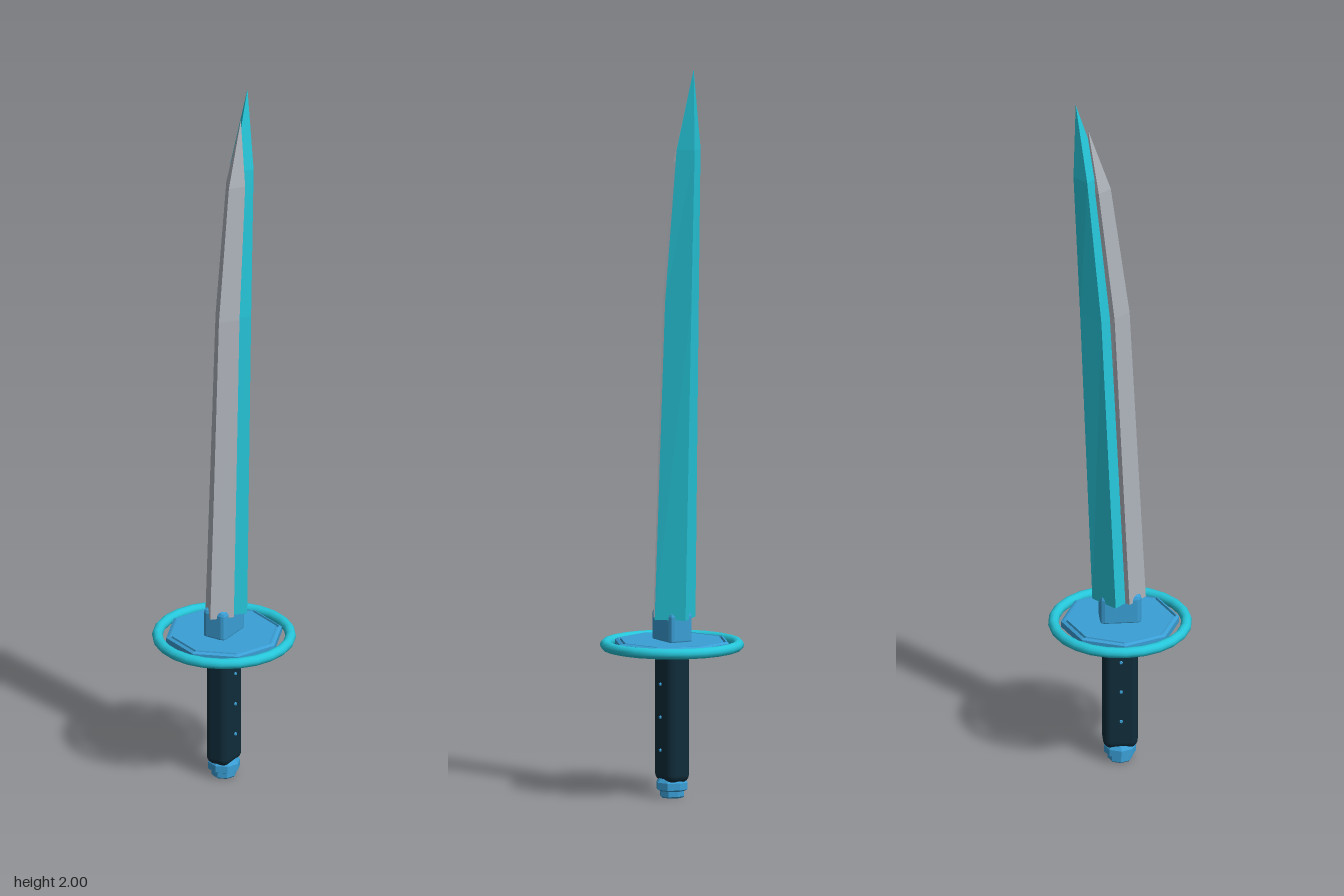
import * as THREE from 'three';
import { RoundedBoxGeometry } from 'three/addons/geometries/RoundedBoxGeometry.js';

const material = (name, color, flatShading = false) => {
  const m = new THREE.MeshStandardMaterial({ color, flatShading });
  m.name = name;
  return m;
};

// Lofts a diamond section: [y, front z, side x, side z, back z] per level
function diamondBlade(levels) {
  const rings = levels.map(([y, front, x, side, back]) =>
    [[0, y, front], [x, y, side], [0, y, back], [-x, y, side]]);
  const pos = [];
  const tri = (...pts) => pts.forEach((p) => pos.push(...p));
  for (let r = 0; r < rings.length - 1; r++) {
    const a = rings[r], b = rings[r + 1];
    for (let i = 0; i < 4; i++) {
      const j = (i + 1) % 4;
      tri(a[i], a[j], b[j]);
      if (r < rings.length - 2) tri(a[i], b[j], b[i]);
    }
  }
  const base = rings[0];
  tri(base[0], base[2], base[1]);
  tri(base[0], base[3], base[2]);
  const geo = new THREE.BufferGeometry();
  geo.setAttribute('position', new THREE.Float32BufferAttribute(pos, 3));
  geo.computeVertexNormals();
  return geo;
}

// Octagonal solid turned from a profile, with a corner towards the front
const octagon = (profile) =>
  new THREE.LatheGeometry(profile.map(([r, y]) => new THREE.Vector2(r, y)), 8);

export function createModel() {
  const group = new THREE.Group();
  const cyan = material('cyan', 0x26c6da);
  const cyanFlat = cyan;
  const steel = material('steel grey', 0xadb2ba);
  const blue = material('blue', 0x3a9fd6, true);
  const grip = material('dark grip', 0x102c3a);

  const add = (name, geo, mat, x = 0, y = 0, z = 0) => {
    const mesh = new THREE.Mesh(geo, mat);
    mesh.name = name;
    mesh.position.set(x, y, z);
    group.add(mesh);
    return mesh;
  };

  // Blade: cyan spine behind, grey cutting edge in front, both sweeping back
  add('bladeSpine', diamondBlade([
    [0.49, 0.045, 0.063, -0.017, -0.075],
    [1.36, -0.002, 0.052, -0.055, -0.108],
    [1.78, -0.05, 0.037, -0.092, -0.126],
    [2.0, -0.12, 0, -0.12, -0.12],
  ]), cyanFlat);
  add('cuttingEdge', diamondBlade([
    [0.49, 0.07, 0.045, 0.022, -0.02],
    [1.36, 0.026, 0.038, -0.018, -0.06],
    [1.74, -0.025, 0.03, -0.06, -0.09],
    [1.92, -0.086, 0, -0.086, -0.086],
  ]), steel);

  // Collar holding the blade
  add('collar', new RoundedBoxGeometry(0.07, 0.09, 0.112, 1, 0.012), blue, 0, 0.465, 0);

  // Guard: octagonal plate with a groove near its rim, inside a ring
  add('guardPlate', octagon([
    [0, 0.405], [0.144, 0.405], [0.146, 0.409], [0.15, 0.409], [0.152, 0.405],
    [0.16, 0.408], [0.16, 0.425], [0.152, 0.429], [0.15, 0.423], [0.146, 0.423],
    [0.144, 0.429], [0, 0.429],
  ]), blue);
  const ring = add('guardRing', new THREE.TorusGeometry(0.18, 0.0145, 12, 24), cyan, 0, 0.416, 0);
  ring.rotation.x = Math.PI / 2;

  // Grip with three studs on each side
  add('grip', new RoundedBoxGeometry(0.07, 0.37, 0.094, 4, 0.022), grip, 0, 0.227, 0);
  for (const side of [-1, 1]) {
    for (const y of [0.13, 0.22, 0.31]) {
      const stud = add('gripStud', new THREE.CylinderGeometry(0.004, 0.005, 0.006, 8), blue, side * 0.036, y, 0);
      stud.rotation.z = -side * Math.PI / 2;
    }
  }

  // Octagonal pommel
  add('pommel', octagon([
    [0, 0], [0.03, 0], [0.034, 0.004], [0.034, 0.018], [0.044, 0.023],
    [0.044, 0.042], [0.037, 0.052], [0, 0.054],
  ]), blue);

  return group;
}
